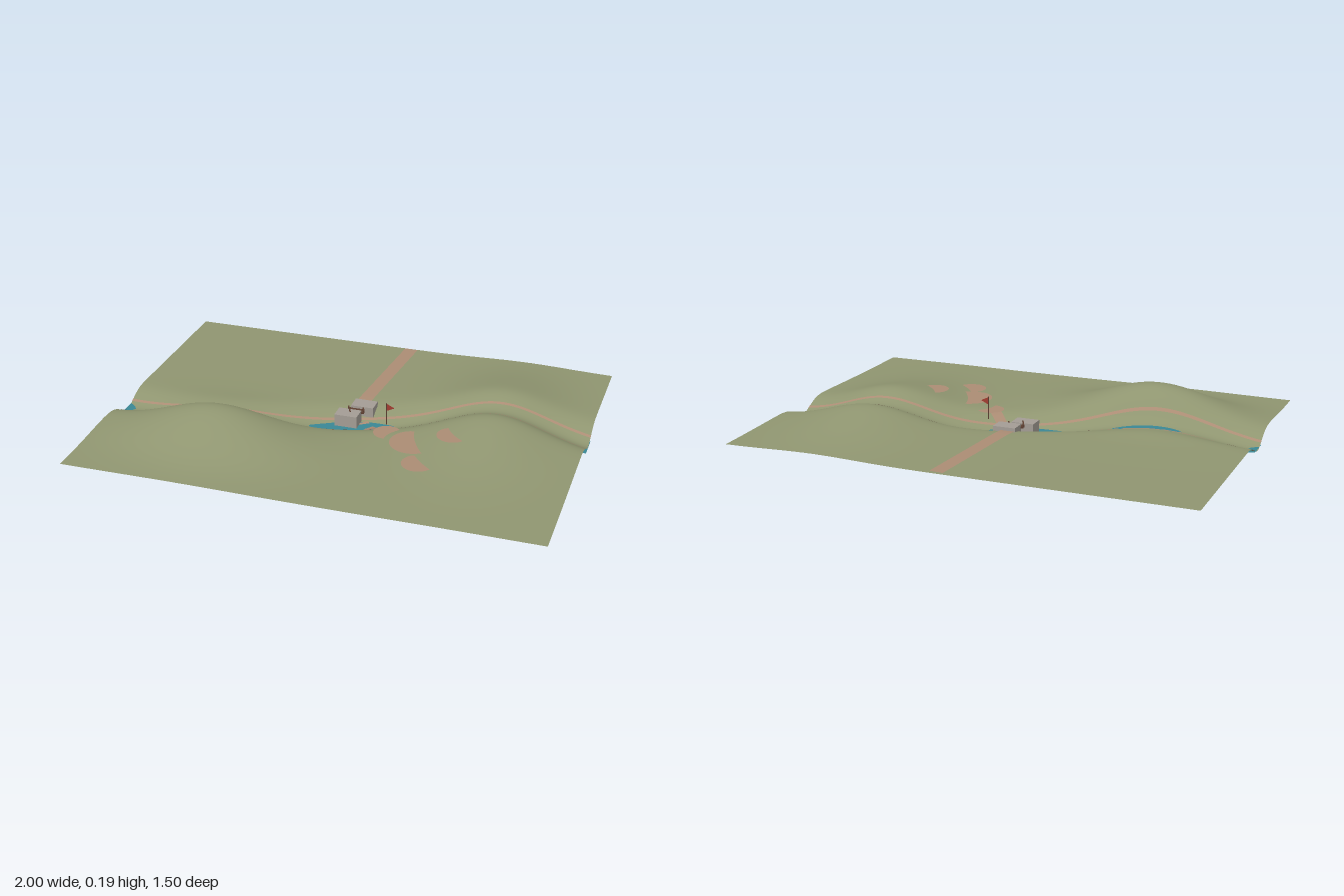
import * as THREE from 'three';

const mat = (color) => new THREE.MeshStandardMaterial({ color, side: THREE.DoubleSide });
const gauss = (d, w) => Math.exp(-(d * d) / (w * w));

// Valley centre line and ground height: two hills with a channel carved through
const riverZ = (x) => -0.1 * Math.sin(2.6 * x) - 0.085 * x;
const ground = (x, z) => 0.057
  + 0.137 * gauss(x + 0.5, 0.34) * gauss(z - 0.325, 0.22)
  + 0.105 * gauss(x - 0.6, 0.27) * gauss(z + 0.13, 0.415)
  - 0.055 * gauss(z - riverZ(x), 0.09);

// Strip between two edge curves; left(t) and right(t) return [x, y, z]
function strip(left, right, n) {
  const pos = [], idx = [];
  for (let i = 0; i <= n; i++) {
    pos.push(...left(i / n), ...right(i / n));
    if (i < n) {
      const a = i * 2;
      idx.push(a, a + 1, a + 2, a + 1, a + 3, a + 2);
    }
  }
  const g = new THREE.BufferGeometry();
  g.setAttribute('position', new THREE.Float32BufferAttribute(pos, 3));
  g.setIndex(idx);
  g.computeVertexNormals();
  return g;
}

export function createModel() {
  const model = new THREE.Group();
  const green = mat(0x8f9570), teal = mat(0x3a8794), tan = mat(0xab8c74);
  const stone = mat(0xa39c94), wood = mat(0x5e4032), red = mat(0xa03c30);

  const add = (name, geo, material, x = 0, y = 0, z = 0, parent = model) => {
    const m = new THREE.Mesh(geo, material);
    m.name = name;
    m.position.set(x, y, z);
    parent.add(m);
    return m;
  };

  // Terrain sheet
  const land = new THREE.PlaneGeometry(2, 1.5, 120, 100).rotateX(-Math.PI / 2);
  const p = land.attributes.position;
  for (let i = 0; i < p.count; i++) p.setY(i, ground(p.getX(i), p.getZ(i)));
  land.computeVertexNormals();
  add('terrain', land, green);

  // River: rises above its bed only near the bridge and at one end
  const water = (side) => (t) => {
    const x = -1 + 2 * t, z = riverZ(x);
    const lift = 0.017 * gauss(x, 0.17) + 0.016 * gauss(x + 1.03, 0.07) - 0.006;
    return [x, Math.max(0.001, ground(x, z) + lift), z + side * 0.055];
  };
  add('river', strip(water(-1), water(1), 100), teal);

  // Narrow paths on both banks
  for (const side of [-1, 1]) {
    const edge = (w) => (t) => {
      const x = -1 + 2 * t, z = riverZ(x) + side * 0.055 + w;
      return [x, ground(x, z) + 0.002, z];
    };
    add(side < 0 ? 'backBankPath' : 'frontBankPath', strip(edge(-0.006), edge(0.006), 100), tan);
  }

  // Road and ramp laid over the ground between two points
  const road = (name, x0, z0, x1, z1, width, lift) => {
    const len = Math.hypot(x1 - x0, z1 - z0);
    const nx = -(z1 - z0) / len * width / 2, nz = (x1 - x0) / len * width / 2;
    const edge = (s) => (t) => {
      const x = x0 + (x1 - x0) * t, z = z0 + (z1 - z0) * t;
      return [x + s * nx, ground(x, z) + lift, z + s * nz];
    };
    add(name, strip(edge(-1), edge(1), 40), tan);
  };
  road('road', 0.0, -0.11, 0.055, -0.74, 0.06, 0.004);
  road('ramp', 0.035, -0.045, 0.15, 0.07, 0.05, 0.007);

  // Flat clearings, half sunk into the slope
  const clearings = [[0.185, 0.095, 0.058], [0.32, 0.175, 0.098], [0.385, 0.33, 0.068], [0.475, 0.13, 0.064]];
  for (const [x, z, r] of clearings) {
    add('clearing', new THREE.CircleGeometry(r, 32).rotateX(-Math.PI / 2), tan, x, ground(x, z) + 0.002, z);
  }

  // Bridge: two stone abutments, a plank deck and side rails
  const bridge = new THREE.Group();
  bridge.name = 'bridge';
  model.add(bridge);
  add('backAbutment', new THREE.BoxGeometry(0.1, 0.045, 0.07), stone, 0.02, 0.05, -0.115, bridge);
  add('frontAbutment', new THREE.BoxGeometry(0.1, 0.068, 0.07), stone, -0.025, 0.034, -0.02, bridge);
  const deck = new THREE.Group();
  deck.name = 'deck';
  deck.position.set(-0.002, 0.058, -0.067);
  deck.rotation.y = 0.44;
  bridge.add(deck);
  add('planks', new THREE.BoxGeometry(0.06, 0.008, 0.06), wood, 0, 0, 0, deck);
  for (const s of [-1, 1]) {
    add('rail', new THREE.BoxGeometry(0.006, 0.012, 0.06), wood, s * 0.03, 0.006, 0, deck);
  }

  // Flag
  add('flagPole', new THREE.CylinderGeometry(0.002, 0.002, 0.1, 8), wood, 0.155, 0.1, 0);
  const pennant = new THREE.Shape([[0, 0.148], [0.035, 0.131], [0, 0.114]].map(([x, y]) => new THREE.Vector2(x, y)));
  add('flag', new THREE.ShapeGeometry(pennant), red, 0.155, 0, 0);

  return model;
}
